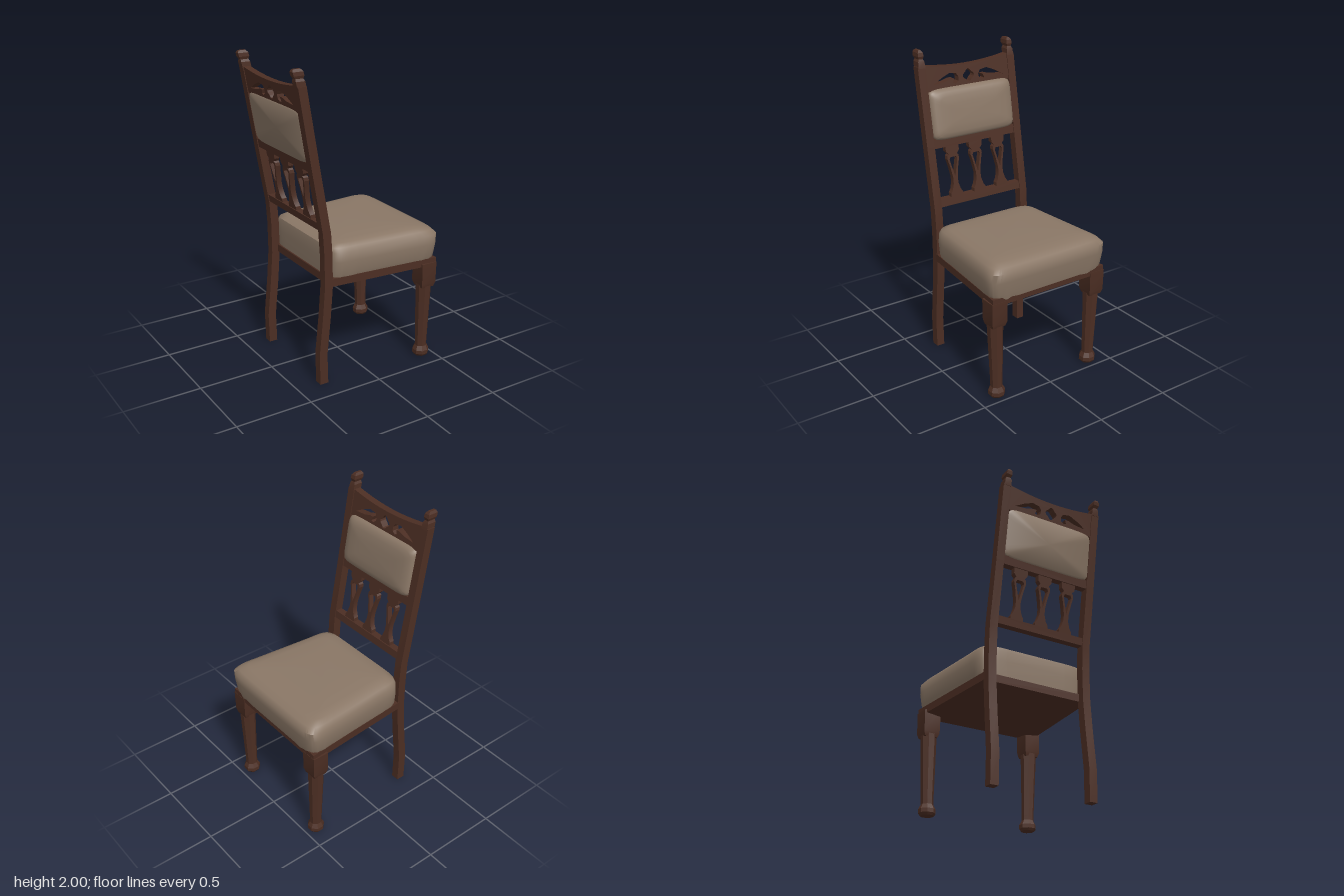
import * as THREE from 'three';
import { toCreasedNormals } from 'three/addons/utils/BufferGeometryUtils.js';

const wood = new THREE.MeshStandardMaterial({ color: 0x4c2e23 });
wood.name = 'dark wood';
const fabric = new THREE.MeshStandardMaterial({ color: 0x8a7766 });
fabric.name = 'taupe upholstery';

// Centre line of the raked back posts: [y, x]
const rake = [[0, -0.32], [0.2, -0.325], [0.45, -0.3], [0.65, -0.285], [0.85, -0.287],
  [1.0, -0.297], [1.4, -0.367], [1.9, -0.452], [2.0, -0.475]];
function backX(y) {
  let i = 0;
  while (i < rake.length - 2 && y > rake[i + 1][0]) i++;
  const [a, b] = [rake[i], rake[i + 1]];
  return a[1] + (b[1] - a[1]) * (y - a[0]) / (b[0] - a[0]);
}

// Lean a flat geometry along the back posts
function lean(geo) {
  const p = geo.attributes.position;
  for (let i = 0; i < p.count; i++) p.setX(i, p.getX(i) + backX(p.getY(i)));
  return geo;
}

// Skin a stack of rings of [x, y, z] points and close both ends
function loft(rings) {
  const n = rings[0].length, pos = rings.flat(2), idx = [];
  const last = (rings.length - 1) * n, base = rings.length * n;
  for (const ring of [rings[0], rings[rings.length - 1]]) {
    for (let k = 0; k < 3; k++) pos.push(ring.reduce((s, q) => s + q[k], 0) / n);
  }
  for (let j = 0; j < n; j++) {
    const k = (j + 1) % n;
    for (let r = 0; r < last; r += n) {
      idx.push(r + j, r + n + j, r + k, r + k, r + n + j, r + n + k);
    }
    idx.push(base, j, k, base + 1, last + k, last + j);
  }
  const geo = new THREE.BufferGeometry();
  geo.setAttribute('position', new THREE.Float32BufferAttribute(pos, 3));
  geo.setIndex(idx);
  return geo;
}

// Regular ring; with four sides the half sizes are those of a rectangle
function ring(n, x, y, z, hx, hz) {
  const k = 1 / Math.cos(Math.PI / n);
  return Array.from({ length: n }, (_, i) => {
    const a = (i + 0.5) / n * Math.PI * 2;
    return [x + Math.cos(a) * hx * k, y, z + Math.sin(a) * hz * k];
  });
}

// Rounded square outline with u and v from -1 to 1
function softSquare(n, power, fn) {
  const f = (t) => Math.sign(t) * Math.pow(Math.abs(t), power);
  return Array.from({ length: n }, (_, i) => {
    const a = (i + 0.5) / n * Math.PI * 2;
    return fn(f(Math.cos(a)), f(Math.sin(a)), i);
  });
}

const seatHalf = (x) => 0.39 + 0.085 * x + (x > 0 ? 0.06 * x * x : -0.05 * x);

function add(group, name, geo, material, crease = 0.35) {
  const mesh = new THREE.Mesh(toCreasedNormals(geo, crease), material);
  mesh.name = name;
  group.add(mesh);
  return mesh;
}

// Flat fretwork: outline in (z, y), extruded through the back and leaned
function fret(group, name, outline, holes, depth) {
  const toShape = (pts, C) => new C(pts.map(([x, y]) => new THREE.Vector2(x, y)));
  const shape = toShape(outline, THREE.Shape);
  shape.holes = holes.map((h) => toShape(h, THREE.Path));
  const geo = new THREE.ExtrudeGeometry(shape, { depth, bevelEnabled: false });
  geo.translate(0, 0, -depth / 2).rotateY(Math.PI / 2);
  return add(group, name, lean(geo), wood);
}

const mirror = (pts) => pts.map(([x, y]) => [-x, y]).reverse();

export function createModel() {
  const chair = new THREE.Group();
  chair.name = 'diningChair';

  for (const s of [1, -1]) {
    const side = s > 0 ? 'left' : 'right';
    // Back post, one piece from foot to top, with small finial
    const post = rake.slice(0, -1).map(([y, x]) => ring(4, x, y, s * 0.333, 0.028, 0.027));
    add(chair, side + 'BackPost', loft(post), wood);
    const finial = [[1.89, 0.03, 0.024], [1.93, 0.03, 0.022], [1.945, 0.026, 0.014],
      [1.962, 0.034, 0.02], [1.985, 0.034, 0.018], [2.0, 0.024, 0.009]]
      .map(([y, hx, hz]) => ring(4, backX(y), y, s * 0.331, hx, hz));
    add(chair, side + 'Finial', loft(finial), wood);

    // Front leg: square block, tapered octagonal shaft, bulbous foot
    const block = [[0.5, 0.044], [0.53, 0.053], [0.67, 0.055]]
      .map(([y, h]) => ring(4, 0.425, y, s * 0.372, h, h));
    add(chair, side + 'FrontLegBlock', loft(block), wood);
    const shaft = [[0, 0.04], [0.015, 0.05], [0.04, 0.05], [0.07, 0.036], [0.1, 0.036], [0.52, 0.048]]
      .map(([y, r]) => ring(8, 0.423, y, s * (0.361 + 0.02 * y), r, r));
    add(chair, side + 'FrontLeg', loft(shaft), wood);
  }

  // Seat frame with slightly bellied underside
  const frame = [[0.632, -0.1, 0.32, 0.65], [0.65, -0.27, 0.478, 0.95], [0.7, -0.27, 0.478, 0.95]]
    .map(([y, x0, x1, w]) => [[x1, 1], [x0, 1], [x0, -1], [x1, -1]]
      .map(([x, v]) => [x, y, v * w * seatHalf(x)]));
  add(chair, 'seatFrame', loft(frame), wood, 0.2);

  // Seat cushion, wider at the front, with a wavy lower edge
  const cushion = [[0.685, -0.26, 0.482, 0.95], [0.72, -0.262, 0.49, 0.98], [0.8, -0.263, 0.5, 1],
    [0.86, -0.263, 0.505, 0.99], [0.887, -0.258, 0.48, 0.94], [0.905, -0.22, 0.43, 0.86],
    [0.912, -0.17, 0.36, 0.74], [0.915, -0.08, 0.2, 0.4]]
    .map(([y, x0, x1, w], r) => softSquare(64, 0.2, (u, v, i) => {
      const x = (x0 + x1) / 2 + u * (x1 - x0) / 2;
      return [x, r ? y : y + 0.006 * Math.sin(i * 2.1), v * w * seatHalf(x)];
    }));
  add(chair, 'seatCushion', loft(cushion), fabric, 0.9);

  // Back pad, domed to the front and nearly flat behind
  const pad = [[-0.03, 0.94], [-0.022, 1], [0.022, 1], [0.038, 0.96], [0.05, 0.87], [0.058, 0.7], [0.062, 0.4]]
    .map(([d, k]) => softSquare(48, 0.2, (u, v) => [u * 0.16 * k, d, v * 0.308 * (1 - (1 - k) * 0.7)]));
  const padGeo = loft(pad).rotateZ(-Math.PI / 2).translate(0, 1.592, 0);
  add(chair, 'backPad', lean(padGeo), fabric, 0.9);

  // Crest rail with a dipped top and pierced ornament
  const top = [];
  for (let i = 0; i <= 12; i++) {
    const z = 0.315 - i * 0.0525;
    top.push([z, 1.875 + 0.028 * (z / 0.315) ** 2]);
  }
  const leaf = [[0.262, 1.778], [0.2, 1.812], [0.14, 1.836], [0.09, 1.828], [0.075, 1.805],
    [0.078, 1.78], [0.1, 1.766], [0.118, 1.772], [0.108, 1.798], [0.135, 1.798], [0.18, 1.785]];
  const rose = Array.from({ length: 24 }, (_, i) => {
    const a = i / 24 * Math.PI * 2, r = 0.037 + 0.005 * Math.cos(4 * a);
    return [r * Math.cos(a), 1.805 + r * Math.sin(a)];
  });
  fret(chair, 'crestRail', [[-0.315, 1.74], [0.315, 1.74], ...top], [leaf, mirror(leaf), rose], 0.046);

  // Middle and lower cross rails
  for (const [name, y0, y1] of [['middleRail', 1.385, 1.44], ['lowerRail', 1.01, 1.058]]) {
    fret(chair, name, [[-0.315, y0], [0.315, y0], [0.315, y1], [-0.315, y1]], [], 0.046);
  }

  // Three pierced vase splats
  const half = [[0.046, 1.05], [0.044, 1.08], [0.03, 1.1], [0.018, 1.14], [0.017, 1.18],
    [0.03, 1.25], [0.043, 1.3], [0.04, 1.32], [0.03, 1.33], [0.048, 1.35], [0.05, 1.39]];
  const hole = [[0, 1.185], [0.017, 1.25], [0.029, 1.298], [0.02, 1.312],
    [-0.02, 1.312], [-0.029, 1.298], [-0.017, 1.25]];
  for (const z of [-0.175, 0, 0.175]) {
    const shift = (pts) => pts.map(([x, y]) => [x + z, y]);
    fret(chair, 'backSplat', shift([...half, ...mirror(half)]), [shift(hole)], 0.034);
  }
  return chair;
}
